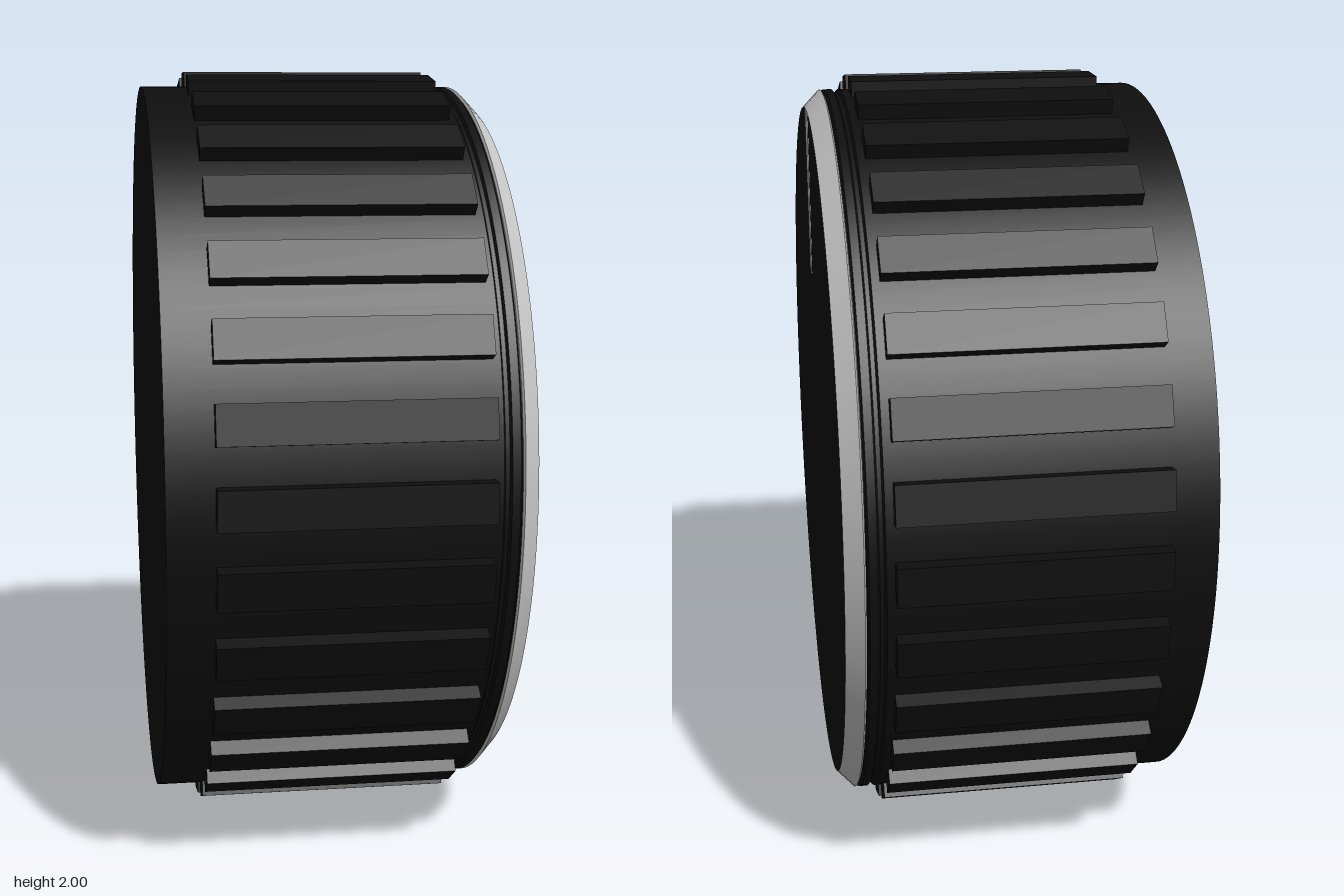
import * as THREE from 'three';
import { toCreasedNormals } from 'three/addons/utils/BufferGeometryUtils.js';

const black = new THREE.MeshStandardMaterial({ color: 0x0e0e0e });
const grey = new THREE.MeshStandardMaterial({ color: 0xcccccc });

// Turned part around the x axis; profile points are [x, radius]
function turned(name, profile, material) {
  const points = profile.map(([x, r]) => new THREE.Vector2(r, x));
  const geometry = new THREE.LatheGeometry(points, 128).rotateZ(-Math.PI / 2);
  const mesh = new THREE.Mesh(toCreasedNormals(geometry, 0.4), material);
  mesh.name = name;
  return mesh;
}

export function createModel() {
  const model = new THREE.Group();
  model.name = 'knob';
  const knob = new THREE.Group();
  knob.name = 'knobAssembly';
  knob.position.y = 1;
  model.add(knob);

  // Drum with two fine grooves near the face
  knob.add(turned('body', [
    [-0.44, 0], [-0.44, 0.963], [0.345, 0.963], [0.35, 0.955], [0.36, 0.955],
    [0.365, 0.963], [0.385, 0.963], [0.39, 0.955], [0.395, 0.955],
  ], black));

  // Bevelled rim and the flat face inside it
  knob.add(turned('bevelRim', [[0.392, 0.955], [0.396, 0.963], [0.44, 0.918]], grey));
  knob.add(turned('face', [[0.44, 0.918], [0.44, 0]], black));

  // Tapered pointer mark on the face
  const mark = new THREE.Shape([
    new THREE.Vector2(-0.047, 0.916), new THREE.Vector2(-0.026, 0.487),
    new THREE.Vector2(0.026, 0.487), new THREE.Vector2(0.047, 0.916),
  ]);
  const pointer = new THREE.Mesh(
    new THREE.ExtrudeGeometry(mark, { depth: 0.012, bevelEnabled: false }), grey);
  pointer.name = 'pointer';
  pointer.rotation.y = Math.PI / 2;
  pointer.position.set(0.43, 0, -0.006);
  knob.add(pointer);

  // Grip ribs around the drum
  const ribs = new THREE.Group();
  ribs.name = 'gripRibs';
  const ribGeometry = new THREE.BoxGeometry(0.65, 0.06, 0.098);
  const count = 32;
  for (let i = 0; i < count; i++) {
    const angle = (i / count) * Math.PI * 2 - 0.011;
    const rib = new THREE.Mesh(ribGeometry, black);
    rib.name = 'rib';
    rib.position.set(0, Math.cos(angle) * 0.97, Math.sin(angle) * 0.97);
    rib.rotation.x = angle;
    ribs.add(rib);
  }
  knob.add(ribs);

  return model;
}
